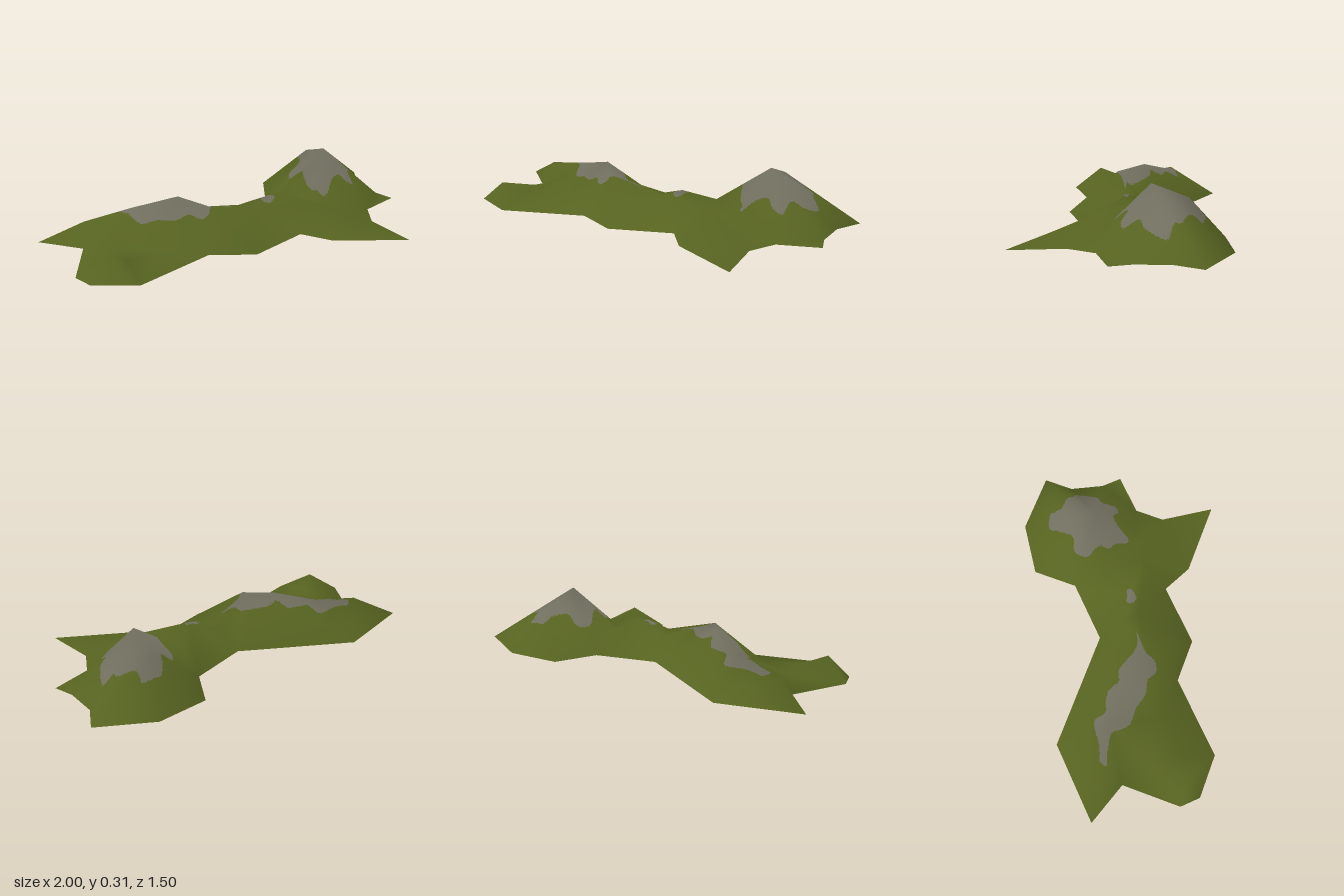
import * as THREE from 'three';

const grass = new THREE.MeshStandardMaterial({ color: 0x566220, side: THREE.DoubleSide });
grass.name = 'grass green';
const rock = new THREE.MeshStandardMaterial({ color: 0x706e5e, side: THREE.DoubleSide });
rock.name = 'rock grey';

// Foot of the range on the ground: x, z
const foot = [
  [-1, .25], [-.667, -.083], [0, -.083], [.25, -.333], [.25, -.583], [.5, -.75], [.833, -.75],
  [.833, -.583], [.917, -.417], [1, -.333], [.833, -.167], [.833, 0], [1, .25], [.583, .25],
  [.417, .167], [.167, .417], [-.083, .417], [-.417, .75], [-.667, .75], [-.75, .667], [-.75, .333],
];

// Summits, saddles and spurs: x, y, z
const ridge = {
  westEnd: [-.75, .12, .25], westRidge: [-.5, .163, .167], westPeak: [-.25, .228, .167],
  shoulder: [-.083, .205, .25], saddle: [.167, .122, .083], saddleBack: [.083, .105, 0],
  knoll: [.25, .163, 0], pass: [.333, .105, -.167], eastSpur: [.5, .12, 0],
  gully: [.5, .045, -.167], eastValley: [.583, .072, -.083],
  eastPeak: [.583, .315, -.333], northShoulder: [.5, .245, -.5],
  spurNeck: [-.583, .045, .417], spurTop: [-.583, .105, .667],
  spurSide: [-.5, .055, .583], hollow: [-.333, .03, .417],
};

// Walk round the ridge; each stop fans down to its foot points
const slopes = [
  ['westEnd', 20, 0, 1], ['westRidge', 1], ['westPeak', 1, 2], ['shoulder', 2], ['saddleBack', 2],
  ['knoll', 2, 3], ['pass', 3], ['eastPeak', 3], ['northShoulder', 3, 4, 5, 6],
  ['eastPeak', 6, 7, 8, 10], ['eastValley', 10, 11], ['eastSpur', 11, 13, 14],
  ['saddle', 14, 15], ['shoulder', 15, 16], ['hollow', 16, 17],
  ['spurSide', 17], ['spurTop', 17, 18, 19], ['spurNeck', 19, 20], ['westRidge', 20],
];

// Faces between ridge points, and flat tips on the ground
const fills = [
  ['knoll', 'pass', 'eastSpur'], ['pass', 'gully', 'eastSpur'], ['gully', 'eastValley', 'eastSpur'],
  ['pass', 'eastPeak', 'gully'], ['gully', 'eastPeak', 'eastValley'],
  ['knoll', 'eastSpur', 'saddle'],
  ['knoll', 'saddle', 'saddleBack'], ['saddleBack', 'saddle', 'shoulder'],
  ['westPeak', 'shoulder', 'hollow'],
  ['westRidge', 'westPeak', 'hollow'], ['westRidge', 'hollow', 'spurNeck'],
  ['spurNeck', 'hollow', 'spurSide'], ['spurNeck', 'spurSide', 'spurTop'],
  [8, 9, 10], [11, 12, 13],
];

// Ragged outlines of bare rock in plan: x, z
const outcrops = [
  [[.57, -.607], [.6, -.55], [.68, -.55], [.71, -.52], [.76, -.515], [.765, -.4], [.73, -.345],
    [.755, -.275], [.715, -.24], [.665, -.25], [.62, -.205], [.595, -.14], [.57, -.13], [.53, -.195],
    [.48, -.215], [.44, -.27], [.39, -.31], [.395, -.39], [.455, -.42], [.455, -.515], [.48, -.58]],
  [[-.71, .225], [-.69, .18], [-.61, .147], [-.53, .088], [-.487, .078], [-.44, .12], [-.385, .1],
    [-.315, .094], [-.26, .13], [-.2, .104], [-.13, .12], [-.02, .147], [.06, .115], [-.05, .206],
    [-.085, .28], [-.14, .297], [-.19, .27], [-.26, .286], [-.353, .265], [-.44, .265],
    [-.49, .233], [-.535, .19], [-.61, .2]],
  [[.205, 0], [.24, -.01], [.275, -.02], [.28, .01], [.25, .045], [.21, .03]],
].map((pts) => {
  const loop = [...pts, pts[0]].map((p) => new THREE.Vector2(...p));
  return new THREE.SplineCurve(loop).getPoints(pts.length * 4);
});

function isRock(x, z) {
  return outcrops.some((poly) => {
    let inside = false;
    for (let i = 0, j = poly.length - 1; i < poly.length; j = i++) {
      const a = poly[i], b = poly[j];
      if ((a.y > z) !== (b.y > z) && x < a.x + (b.x - a.x) * (z - a.y) / (b.y - a.y)) inside = !inside;
    }
    return inside;
  });
}

// Coarse hill surface, every face turned upwards, normals averaged at the corners
function hillFaces() {
  const corners = {};
  const node = (point) => ({ p: new THREE.Vector3(...point), n: new THREE.Vector3() });
  foot.forEach(([x, z], i) => { corners[i] = node([x, 0, z]); });
  for (const name in ridge) corners[name] = node(ridge[name]);

  const list = [...fills];
  slopes.forEach(([top, ...feet], i) => {
    for (let k = 0; k + 1 < feet.length; k++) list.push([top, feet[k], feet[k + 1]]);
    list.push([top, feet[feet.length - 1], slopes[(i + 1) % slopes.length][0]]);
  });
  return list.map((keys) => {
    let [a, b, c] = keys.map((k) => corners[k]);
    const normal = b.p.clone().sub(a.p).cross(c.p.clone().sub(a.p)).normalize();
    if (normal.y < 0) { [b, c] = [c, b]; normal.negate(); }
    [a, b, c].forEach((v) => v.n.add(normal));
    return [a, b, c];
  });
}

// Divide each face finely and sort the pieces into grass and rock
function splitSurface(steps) {
  const parts = { grass: { p: [], n: [] }, rock: { p: [], n: [] } };
  for (const [a, b, c] of hillFaces()) {
    const normals = [a, b, c].map((v) => v.n.clone().normalize());
    const mix = (A, B, C, i, j) => A.clone().multiplyScalar(1 - (i + j) / steps)
      .addScaledVector(B, i / steps).addScaledVector(C, j / steps);
    const add = (cells) => {
      const pts = cells.map(([i, j]) => mix(a.p, b.p, c.p, i, j));
      const x = (pts[0].x + pts[1].x + pts[2].x) / 3, z = (pts[0].z + pts[1].z + pts[2].z) / 3;
      const part = isRock(x, z) ? parts.rock : parts.grass;
      cells.forEach(([i, j], k) => {
        part.p.push(...pts[k].toArray());
        part.n.push(...mix(...normals, i, j).normalize().toArray());
      });
    };
    for (let i = 0; i < steps; i++) {
      for (let j = 0; i + j < steps; j++) {
        add([[i, j], [i + 1, j], [i, j + 1]]);
        if (i + j + 1 < steps) add([[i + 1, j], [i + 1, j + 1], [i, j + 1]]);
      }
    }
  }
  return parts;
}

export function createModel() {
  const group = new THREE.Group();
  group.name = 'mountainRange';
  const parts = splitSurface(36);
  const addMesh = (name, { p, n }, material) => {
    const geometry = new THREE.BufferGeometry();
    geometry.setAttribute('position', new THREE.Float32BufferAttribute(p, 3));
    geometry.setAttribute('normal', new THREE.Float32BufferAttribute(n, 3));
    const mesh = new THREE.Mesh(geometry, material);
    mesh.name = name;
    group.add(mesh);
  };
  addMesh('grassSlopes', parts.grass, grass);
  addMesh('rockCaps', parts.rock, rock);
  return group;
}
